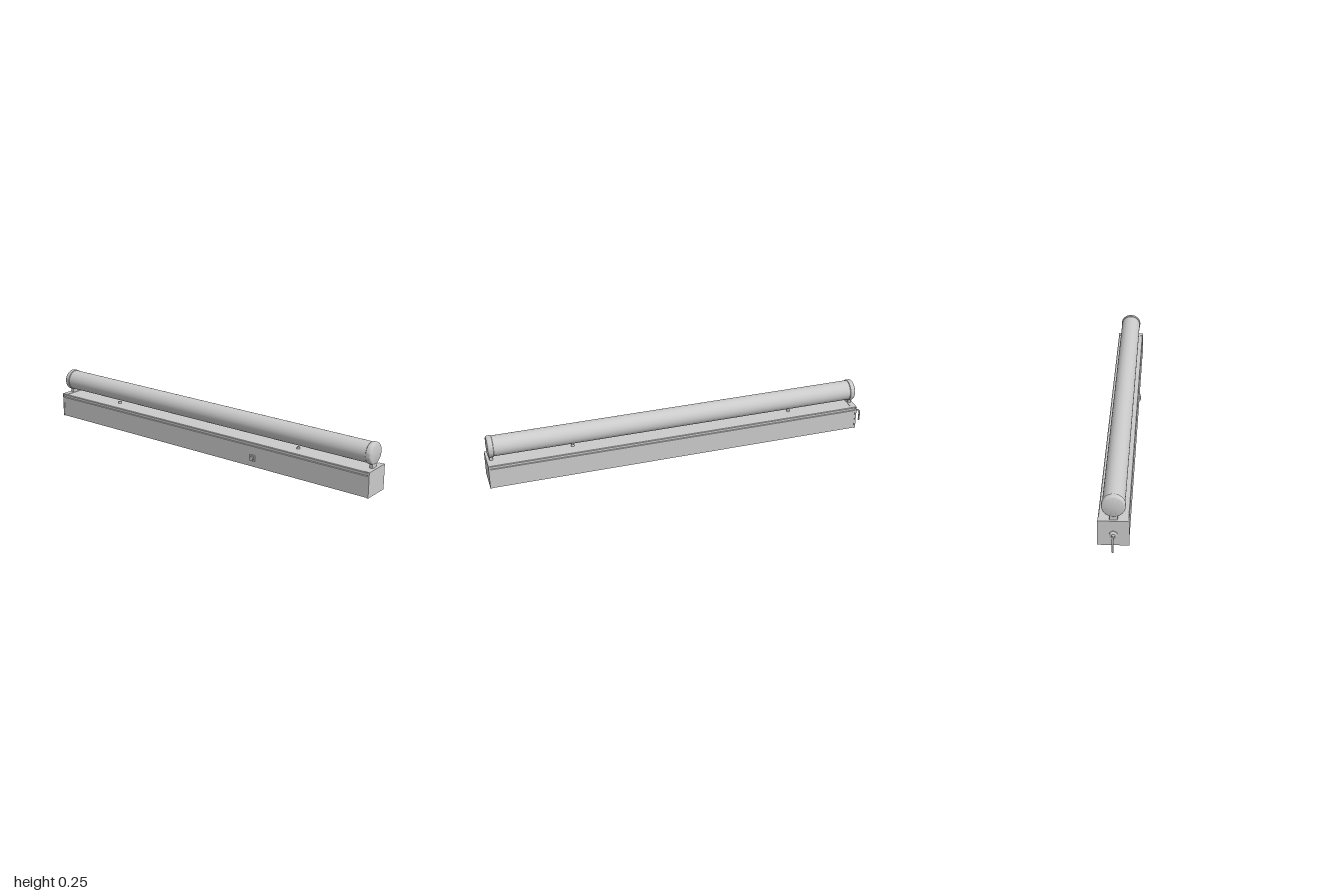
import * as THREE from 'three';
import { toCreasedNormals } from 'three/addons/utils/BufferGeometryUtils.js';
import { RoundedBoxGeometry } from 'three/addons/geometries/RoundedBoxGeometry.js';

const LEFT = 1.0, RIGHT = -0.94;       // ends of the housing
const MID = (LEFT + RIGHT) / 2;
const AXIS_Z = -0.003, TUBE_Y = 0.197; // lamp axis

export function createModel() {
  const model = new THREE.Group();
  const grey = new THREE.MeshStandardMaterial({ color: 0xcccccc, side: THREE.DoubleSide });

  const add = (name, geometry, x = 0, y = 0, z = 0) => {
    const mesh = new THREE.Mesh(geometry, grey);
    mesh.name = name;
    mesh.position.set(x, y, z);
    model.add(mesh);
    return mesh;
  };
  // Turned part along +x; profile is [radius, distance] pairs
  const turned = (profile, segments = 48) => {
    const g = new THREE.LatheGeometry(profile.map(p => new THREE.Vector2(...p)), segments);
    g.rotateZ(-Math.PI / 2);
    return toCreasedNormals(g, 0.6);
  };

  // Housing channel: section in z-y with a shallow groove below the cover on both sides
  const front = 0.066, back = -0.073;
  const section = new THREE.Shape([
    [front, 0.001], [front, 0.106], [front - 0.004, 0.108], [front - 0.004, 0.112],
    [front, 0.113], [front, 0.122], [front - 0.003, 0.125],
    [back + 0.003, 0.125], [back, 0.122], [back, 0.113], [back + 0.004, 0.112],
    [back + 0.004, 0.108], [back, 0.106], [back, 0.001],
  ].map(([z, y]) => new THREE.Vector2(-z, y)));
  const channel = new THREE.ExtrudeGeometry(section, { depth: LEFT - RIGHT - 0.01, bevelEnabled: false });
  channel.rotateY(Math.PI / 2);
  add('housingChannel', channel, RIGHT + 0.005, 0, 0);

  // End plates, with a folded lip over the channel
  for (const [x, s] of [[LEFT, -1], [RIGHT, 1]]) {
    add('endPlate', new THREE.BoxGeometry(0.008, 0.127, 0.143), x + s * 0.004, 0.0635, -0.0035);
    add('endPlateLip', new THREE.BoxGeometry(0.03, 0.002, 0.139), x + s * 0.015, 0.126, -0.0035);
  }

  // Lamp tube
  const tube = new THREE.CylinderGeometry(0.051, 0.051, 1.88, 48, 1, true);
  tube.rotateZ(Math.PI / 2);
  add('lampTube', tube, MID, TUBE_Y, AXIS_Z);

  // Rounded tube caps on short necks
  const capProfile = [
    [0.05, 0], [0.0525, 0], [0.054, 0.002], [0.054, 0.019], [0.053, 0.0225],
    [0.051, 0.0255], [0.048, 0.0275], [0.044, 0.028], [0, 0.028],
  ];
  for (const [x, s] of [[0.964, 1], [-0.907, -1]]) {
    const cap = add('tubeCap', turned(capProfile), x, TUBE_Y, AXIS_Z);
    if (s < 0) cap.rotation.y = Math.PI;
    add('lampHolderNeck', new RoundedBoxGeometry(0.018, 0.035, 0.037, 2, 0.003),
      x + s * 0.013, 0.1405, AXIS_Z);
  }

  // Cover screws
  for (const x of [-0.58, 0.57]) {
    add('coverScrew', new THREE.CylinderGeometry(0.007, 0.009, 0.01, 20), x, 0.13, AXIS_Z);
  }

  // Switch on the front face
  add('switchBase', new RoundedBoxGeometry(0.032, 0.032, 0.008, 3, 0.0035), 0.35, 0.047, 0.069);
  const button = new THREE.CylinderGeometry(0.009, 0.011, 0.006, 28);
  button.rotateX(Math.PI / 2);
  add('switchButton', button, 0.35, 0.047, 0.074);

  // Cord grommet and hanging cord
  const grommet = add('cordGrommet', turned([
    [0.019, 0], [0.019, 0.003], [0.014, 0.006], [0.008, 0.009], [0.006, 0.018], [0, 0.018],
  ], 28), RIGHT, 0.056, AXIS_Z);
  grommet.rotation.y = Math.PI;
  const path = new THREE.CatmullRomCurve3([
    [-0.935, 0.056], [-0.955, 0.058], [-0.975, 0.063], [-0.988, 0.06],
    [-0.995, 0.048], [-0.995, 0.025], [-0.995, 0],
  ].map(([x, y]) => new THREE.Vector3(x, y, AXIS_Z)));
  add('powerCord', new THREE.TubeGeometry(path, 40, 0.0045, 12));
  const cordEnd = new THREE.CircleGeometry(0.0045, 12);
  cordEnd.rotateX(Math.PI / 2);
  add('cordEnd', cordEnd, -0.995, 0, AXIS_Z);

  return model;
}
